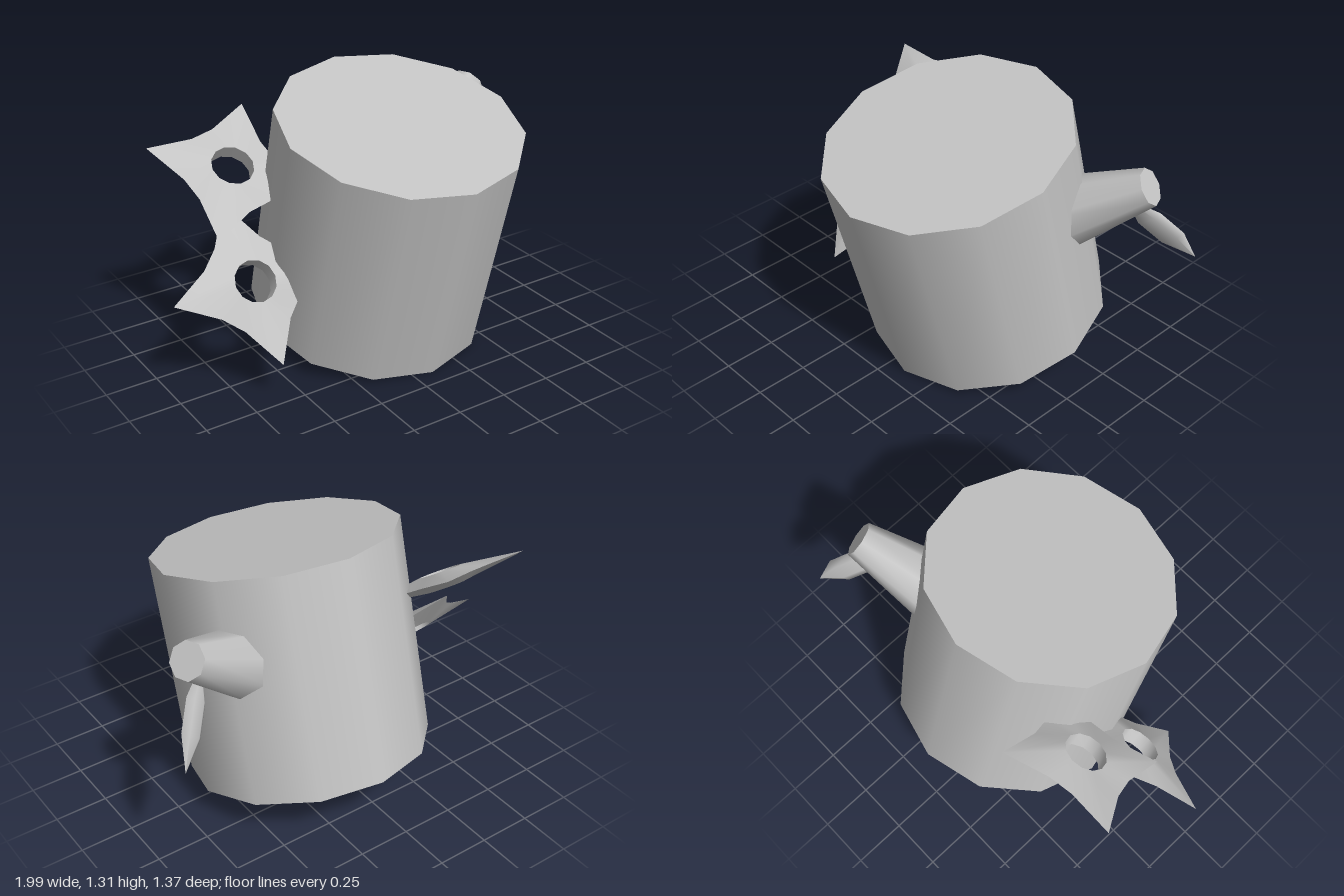
import * as THREE from 'three';
import { mergeGeometries } from 'three/addons/utils/BufferGeometryUtils.js';

const V = (x, y, z) => new THREE.Vector3(x, y, z);

// Four-pointed star: knife-edged rim, thick hub, hole through the middle
function starGeometry() {
  const N = 12, tip = 0.39, notch = 0.23, hole = 0.1, half = 0.038;
  const loop = (radius, z) => Array.from({ length: N }, (_, i) => {
    const a = (i / N) * Math.PI * 2, r = radius(i);
    return [r * Math.cos(a), r * Math.sin(a), z];
  });
  const rim = loop(i => (i % 3 === 0 ? tip : notch), 0);
  const front = loop(() => hole, half);
  const back = loop(() => hole, -half);
  const band = (a, b) => {
    const g = new THREE.BufferGeometry(), index = [];
    g.setAttribute('position', new THREE.Float32BufferAttribute([...a, ...b].flat(), 3));
    for (let i = 0; i < N; i++) {
      const j = (i + 1) % N;
      index.push(i, N + i, N + j, i, N + j, j);
    }
    g.setIndex(index);
    g.computeVertexNormals();
    return g;
  };
  return mergeGeometries([band(front, rim), band(rim, back), band(back, front)]);
}

// Place a mesh with local x along u, local y near v
function orient(mesh, centre, u, v) {
  const x = u.clone().normalize();
  const z = x.clone().cross(v).normalize();
  const y = z.clone().cross(x);
  mesh.quaternion.setFromRotationMatrix(new THREE.Matrix4().makeBasis(x, y, z));
  mesh.position.copy(centre);
}

export function createModel() {
  const group = new THREE.Group();
  const grey = new THREE.MeshStandardMaterial({ color: 0xc4c4c4 });
  grey.name = 'grey';
  const add = (name, geometry) => {
    const mesh = new THREE.Mesh(geometry, grey);
    mesh.name = name;
    group.add(mesh);
    return mesh;
  };

  // Tilted drum body
  const body = add('body', new THREE.CylinderGeometry(0.571, 0.571, 1.05, 12));
  body.position.set(0.095, 0.655, 0);
  body.rotation.x = THREE.MathUtils.degToRad(15);

  // Tapered spout, sunk into the body
  const axis = V(0.785, 0.526, -0.327).normalize();
  const length = 0.5;
  const spout = add('spout', new THREE.CylinderGeometry(0.085, 0.175, length, 8));
  spout.quaternion.setFromUnitVectors(V(0, 1, 0), axis);
  spout.position.set(0.845, 1.06, -0.34).addScaledVector(axis, -length / 2);

  // Flattened pointed leaf hanging below the spout
  const profile = [[0, -0.225], [1, -0.075], [1, 0.075], [0, 0.225]];
  const leafGeometry = new THREE.LatheGeometry(
    profile.map(([r, y]) => new THREE.Vector2(r, y)), 6, Math.PI / 2);
  leafGeometry.scale(0.067, 1, 0.022);
  const leaf = add('leaf', leafGeometry);
  orient(leaf, V(0.872, 0.827, -0.41), V(0.72, 0.67, -0.16), V(0.57, -0.63, -0.53));

  // Pierced stars on the right side
  const star = starGeometry();
  orient(add('lowerStar', star), V(-0.61, 0.495, 0), V(1, 0, 0), V(0, 0.755, -0.656));
  orient(add('upperStar', star), V(-0.54, 0.925, -0.295),
    V(-0.325, 0.12, -0.171), V(-0.2045, -0.19, 0.262));

  return group;
}
